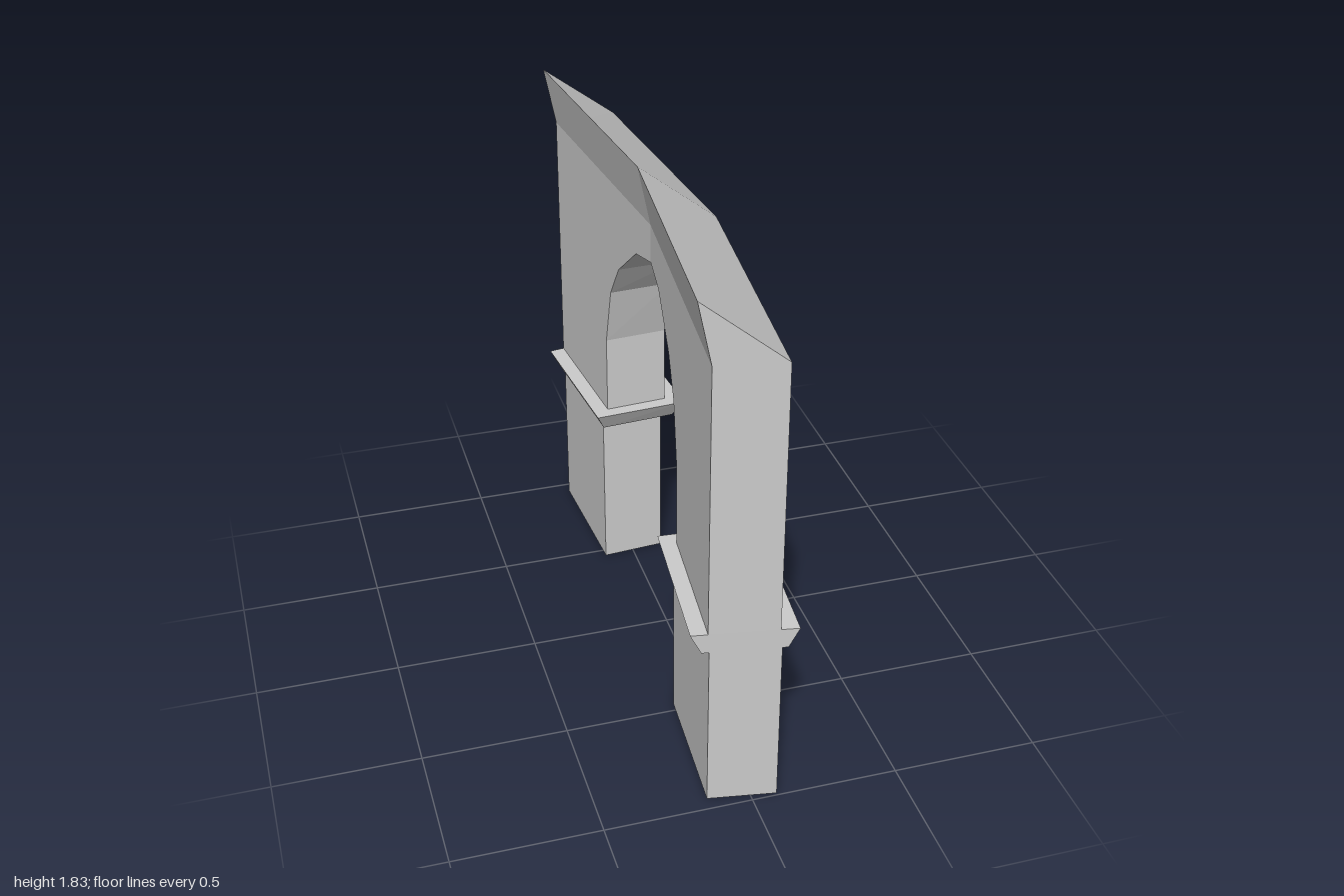
import * as THREE from 'three';

const stone = new THREE.MeshStandardMaterial({ color: 0xcccccc, flatShading: true });

// Bent-wall coordinates: u runs along the wall, d is depth behind its front face.
const place = (u, y, d) => [0.17 - 0.091 * Math.abs(u) - d, y, u * (1 - 0.17 * d)];

// Skin a list of equal-length rings of [x, y, z] points and cap both ends.
function loft(name, rings) {
  const pos = [];
  const n = rings[0].length;
  const tri = (a, b, c) => {
    const [p, q, r] = [a, b, c].map(v => new THREE.Vector3(...v));
    if (q.sub(p).cross(r.sub(p)).length() > 1e-8) pos.push(...a, ...b, ...c);
  };
  for (let i = 0; i + 1 < rings.length; i++) {
    for (let j = 0; j < n; j++) {
      const k = (j + 1) % n;
      tri(rings[i][j], rings[i][k], rings[i + 1][k]);
      tri(rings[i][j], rings[i + 1][k], rings[i + 1][j]);
    }
  }
  const first = rings[0], last = rings[rings.length - 1];
  for (let j = 1; j + 1 < n; j++) {
    tri(first[0], first[j + 1], first[j]);
    tri(last[0], last[j], last[j + 1]);
  }
  const geo = new THREE.BufferGeometry();
  geo.setAttribute('position', new THREE.Float32BufferAttribute(pos, 3));
  geo.computeVertexNormals();
  const mesh = new THREE.Mesh(geo, stone);
  mesh.name = name;
  return mesh;
}

// Four-sided block on one side (s = 1 or -1); each level is
// [y, inner u, outer u, inner front d, outer front d, thickness].
function block(name, s, levels) {
  return loft(name, levels.map(([y, inner, outer, dIn, dOut, t]) => {
    const ring = [
      place(s * inner, y, dIn + t), place(s * outer, y, dOut + t),
      place(s * outer, y, dOut), place(s * inner, y, dIn),
    ];
    return s > 0 ? ring : ring.reverse();
  }));
}

export function createModel() {
  const model = new THREE.Group();
  model.name = 'archway';

  // Underside of half the wall, from its outer end to the crown: [u, y]
  const half = [
    [0.99, 0.67], [0.466, 0.67], [0.466, 0.96], [0.41, 1.18],
    [0.322, 1.31], [0.142, 1.45],
  ];
  const underside = [
    ...half.map(([u, y]) => [-u, y]), [0, 1.48], ...half.slice().reverse(),
  ];

  // Arched wall with sloping top and flared back edge
  model.add(loft('archedWall', underside.map(([u, y]) => [
    place(u, 1.615, 0.225), place(u, y, 0.225), place(u, y, 0),
    place(u, 1.615, 0), place(u, 1.825, 0.268),
  ])));

  for (const s of [1, -1]) {
    const side = s > 0 ? 'front' : 'back';
    // Flared moulding between pier and wall
    model.add(block(side + 'Impost', s, [
      [0.6, 0.456, 0.99, -0.025, -0.025, 0.27],
      [0.67, 0.416, 0.99, -0.06, -0.06, 0.34],
    ]));
    // Supporting pier
    model.add(block(side + 'Pier', s, [0, 0.6].map(y => [y, 0.484, 0.99, 0.01, -0.006, 0.227])));
  }
  return model;
}
